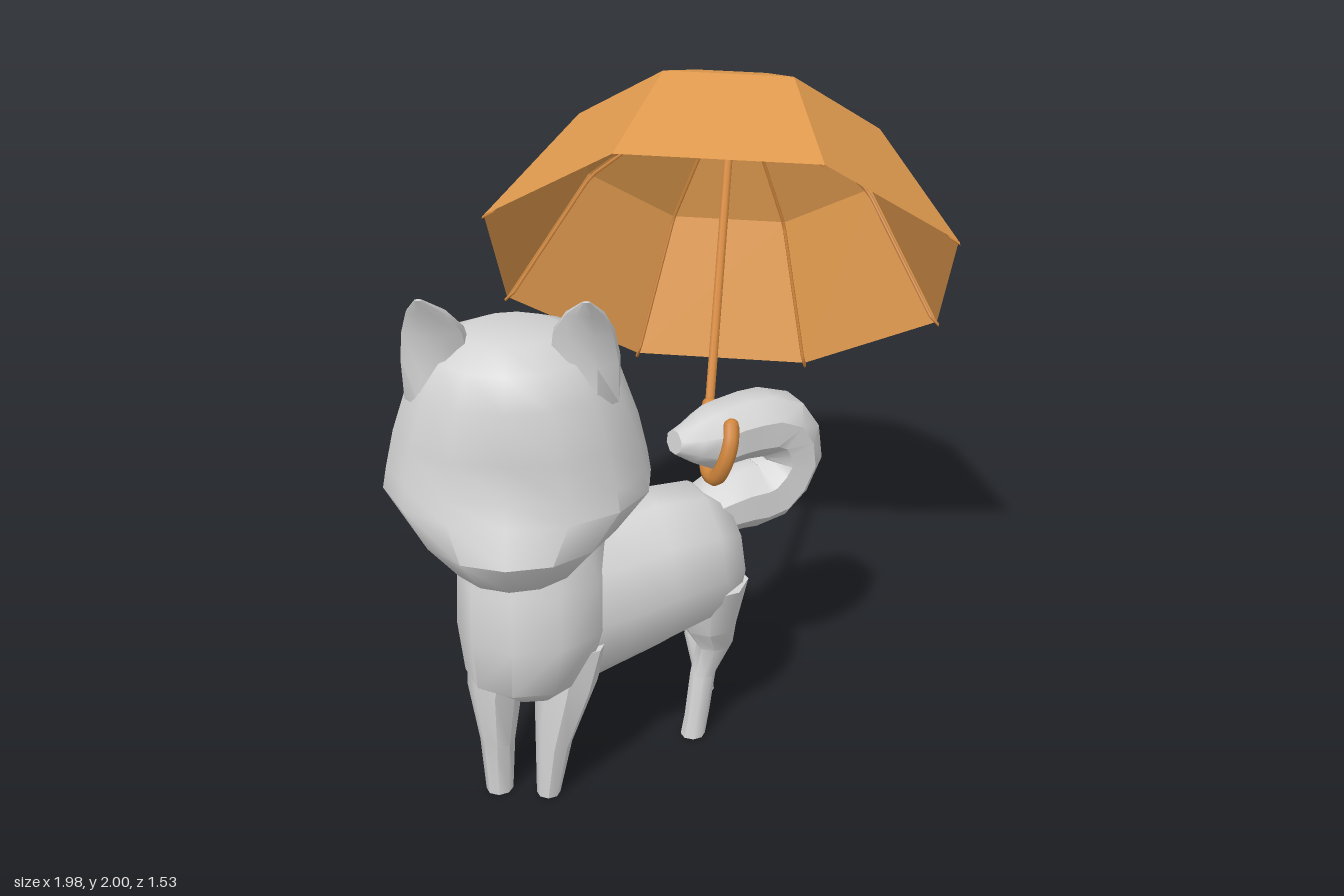
import * as THREE from 'three';
import { toCreasedNormals } from 'three/addons/utils/BufferGeometryUtils.js';

const V = (x, y, z) => new THREE.Vector3(x, y, z);

// Closed skin over rings; place(ring, cos, sin) gives one point, the centre at 0, 0.
function loft(rings, sides, place) {
  const pos = [], idx = [];
  const k = 1 / Math.cos(Math.PI / sides); // flats reach the stated half widths
  for (const r of rings) {
    for (let i = 0; i < sides; i++) {
      const a = ((i + 0.5) / sides) * Math.PI * 2;
      pos.push(...place(r, k * Math.cos(a), k * Math.sin(a)));
    }
  }
  for (let j = 0; j < rings.length - 1; j++) {
    for (let i = 0; i < sides; i++) {
      const n = (i + 1) % sides, a = j * sides, b = a + sides;
      idx.push(a + i, b + i, b + n, a + i, b + n, a + n);
    }
  }
  const n = rings.length * sides, last = n - sides;
  pos.push(...place(rings[0], 0, 0), ...place(rings[rings.length - 1], 0, 0));
  for (let i = 0; i < sides; i++) {
    const m = (i + 1) % sides;
    idx.push(n, i, m, n + 1, last + m, last + i);
  }
  // Turn the faces outward if the rings ran the other way
  let volume = 0;
  const p = (i) => V(pos[i * 3], pos[i * 3 + 1], pos[i * 3 + 2]);
  for (let i = 0; i < idx.length; i += 3) volume += p(idx[i]).dot(p(idx[i + 1]).cross(p(idx[i + 2])));
  if (volume < 0) idx.reverse();
  const g = new THREE.BufferGeometry();
  g.setAttribute('position', new THREE.Float32BufferAttribute(pos, 3));
  g.setIndex(idx);
  return toCreasedNormals(g, 0.8);
}

// Ring styles: [x, y, z, half width, half depth]
const level = ([x, y, z, rx, rz], c, s) => [x + rx * c, y, z + rz * s];
const upright = ([x, y, z, ry, rz], c, s) => [x, y + ry * c, z + rz * s];

export function createModel() {
  const fur = new THREE.MeshStandardMaterial({ color: 0xd4d4d4 });
  fur.name = 'greyFur';
  const cloth = new THREE.MeshStandardMaterial({ color: 0xe09a4e, side: THREE.DoubleSide });
  cloth.name = 'orangeCloth';
  const wood = new THREE.MeshStandardMaterial({ color: 0xcf853c });
  wood.name = 'handleOrange';

  const model = new THREE.Group();
  const add = (parent, name, geometry, material) => {
    const m = new THREE.Mesh(geometry, material);
    m.name = name;
    parent.add(m);
    return m;
  };

  const animal = new THREE.Group();
  animal.name = 'animal';
  model.add(animal);

  // Chest and neck
  add(animal, 'chest', loft([
    [-0.6, 0.95, 0.40, 0.17, 0.14], [-0.585, 0.84, 0.40, 0.19, 0.16],
    [-0.59, 0.74, 0.40, 0.215, 0.19], [-0.595, 0.58, 0.41, 0.22, 0.2],
    [-0.61, 0.42, 0.41, 0.19, 0.17], [-0.61, 0.36, 0.41, 0.11, 0.11],
  ], 10, level), fur);

  // Torso, from the shoulders to the rump
  add(animal, 'torso', loft([
    [-0.6, 0.59, 0.40, 0.2, 0.15], [-0.45, 0.59, 0.37, 0.26, 0.185],
    [-0.34, 0.59, 0.35, 0.245, 0.195],
    [-0.2, 0.615, 0.34, 0.24, 0.205], [-0.03, 0.625, 0.32, 0.21, 0.205],
    [0.065, 0.61, 0.30, 0.165, 0.165], [0.1, 0.6, 0.29, 0.08, 0.09],
  ], 10, upright), fur);

  // Legs, from foot to shoulder or hip
  const legs = {
    frontRightLeg: [[-0.725, 0, 0.40, 0.038, 0.036], [-0.725, 0.18, 0.40, 0.048, 0.05],
      [-0.725, 0.38, 0.40, 0.075, 0.085], [-0.7, 0.52, 0.40, 0.09, 0.11]],
    frontLeftLeg: [[-0.597, 0, 0.48, 0.033, 0.034], [-0.575, 0.18, 0.48, 0.05, 0.055],
      [-0.53, 0.38, 0.475, 0.085, 0.095], [-0.5, 0.52, 0.46, 0.1, 0.115]],
    hindLeftLeg: [[-0.068, 0, 0.39, 0.036, 0.034], [-0.055, 0.07, 0.39, 0.036, 0.032],
      [-0.032, 0.22, 0.385, 0.037, 0.036], [0.005, 0.32, 0.39, 0.054, 0.045],
      [-0.025, 0.41, 0.41, 0.078, 0.075], [-0.02, 0.56, 0.40, 0.11, 0.11]],
    hindRightLeg: [[0.07, 0, 0.18, 0.034, 0.032], [0.07, 0.08, 0.18, 0.032, 0.032],
      [0.052, 0.22, 0.17, 0.04, 0.038], [0.077, 0.35, 0.155, 0.045, 0.045],
      [0.045, 0.44, 0.18, 0.065, 0.085], [0.01, 0.51, 0.195, 0.085, 0.1],
      [0, 0.62, 0.24, 0.08, 0.09]],
  };
  for (const [name, rings] of Object.entries(legs)) add(animal, name, loft(rings, 8, level), fur);

  // Curled tail: a tapering tube
  const path = new THREE.CatmullRomCurve3([
    V(0.0, 0.74, 0.29), V(0.12, 0.765, 0.28), V(0.23, 0.775, 0.27), V(0.31, 0.87, 0.27),
    V(0.265, 0.98, 0.275), V(0.14, 1.005, 0.29), V(0.01, 1.0, 0.315), V(-0.11, 1.015, 0.33)]);
  const radii = [0.08, 0.1, 0.108, 0.1, 0.1, 0.095, 0.09, 0.035];
  const tailRings = [];
  for (let i = 0; i <= 14; i++) {
    const f = i / 2, k = Math.min(Math.floor(f), 6);
    const dir = path.getTangent(i / 14);
    const side = V(0, 0, 1).addScaledVector(dir, -dir.z).normalize();
    tailRings.push({
      at: path.getPoint(i / 14), side, out: dir.clone().cross(side),
      r: THREE.MathUtils.lerp(radii[k], radii[k + 1], f - k),
    });
  }
  add(animal, 'tail', loft(tailRings, 8, (t, c, s) =>
    t.at.clone().addScaledVector(t.out, t.r * c).addScaledVector(t.side, t.r * 1.1 * s).toArray()), fur);

  // Head, turned towards its right
  const head = new THREE.Group();
  head.name = 'head';
  head.position.set(-0.635, 0, 0.42);
  head.rotation.y = -0.464;
  animal.add(head);
  add(head, 'skull', loft([
    [0, 0.82, 0.04, 0.13, 0.14], [0, 0.85, 0.07, 0.185, 0.22],
    [0, 0.95, 0.05, 0.28, 0.3], [0, 1.05, 0.005, 0.37, 0.305],
    [0, 1.11, -0.005, 0.36, 0.3], [0, 1.22, -0.01, 0.335, 0.3],
    [0, 1.37, -0.005, 0.285, 0.28], [0, 1.46, 0.01, 0.225, 0.225], [0, 1.51, 0.03, 0.13, 0.13],
  ], 14, (r, c, s) => {
    const p = level(r, c, s);
    if (r[1] > 1.1) p[2] = Math.min(p[2], 0.275); // flat face above the muzzle
    return p;
  }), fur);

  // Pointed ears leaning forward
  for (const side of [-1, 1]) {
    add(head, side < 0 ? 'rightEar' : 'leftEar', loft([
      [0.2 * side, 1.33, 0.05, 0.09, 0.1], [0.2 * side, 1.45, 0.07, 0.092, 0.08],
      [0.2 * side, 1.54, 0.105, 0.08, 0.052], [0.208 * side, 1.61, 0.155, 0.05, 0.03],
      [0.216 * side, 1.66, 0.205, 0.01, 0.007],
    ], 8, level), fur);
  }

  // Umbrella, built upright and then tilted
  const umbrella = new THREE.Group();
  umbrella.name = 'umbrella';
  umbrella.position.set(0.255, 1.355, -0.11);
  const front = V(0.025, 0.505, 0.59).normalize(), across = V(0.725, -0.235, 0.17).normalize();
  const axis = front.clone().cross(across).normalize();
  umbrella.quaternion.setFromRotationMatrix(
    new THREE.Matrix4().makeBasis(axis.clone().cross(front), axis, front));
  model.add(umbrella);

  const profile = [[0.78, 0], [0.517, 0.43], [0.29, 0.57], [0.001, 0.61]];
  const canopy = new THREE.LatheGeometry(profile.map(([r, h]) => new THREE.Vector2(r, h)), 8).toNonIndexed();
  canopy.computeVertexNormals();
  add(umbrella, 'canopy', canopy, cloth);

  // Ribs under the canopy seams
  const ribPath = new THREE.CatmullRomCurve3(
    [V(0, -0.01, 0.785), ...profile.map(([r, h]) => V(0, h - 0.012, r - 0.008))], false, 'catmullrom', 0);
  const ribGeometry = new THREE.TubeGeometry(ribPath, 24, 0.006, 5);
  for (let i = 0; i < 8; i++) add(umbrella, 'rib', ribGeometry, wood).rotation.y = (i * Math.PI) / 4;

  // Shaft and hooked handle around the tail tip
  const shaft = new THREE.CylinderGeometry(0.015, 0.015, 1.08, 8);
  add(umbrella, 'shaft', shaft, wood).position.y = 0.06;
  const along = (t) => umbrella.position.clone().addScaledVector(axis, t);
  const hook = new THREE.CatmullRomCurve3([
    along(-0.46), along(-0.53), along(-0.6), V(0.005, 0.895, 0.33), V(0.0, 0.9, 0.39),
    V(0.012, 0.96, 0.425), V(0.03, 1.02, 0.425), V(0.045, 1.065, 0.4)]);
  add(model, 'hookedHandle', new THREE.TubeGeometry(hook, 40, 0.025, 8), wood);
  const cap = new THREE.SphereGeometry(0.025, 8, 6);
  for (const t of [0, 1]) add(model, 'handleEnd', cap, wood).position.copy(hook.getPoint(t));

  return model;
}
